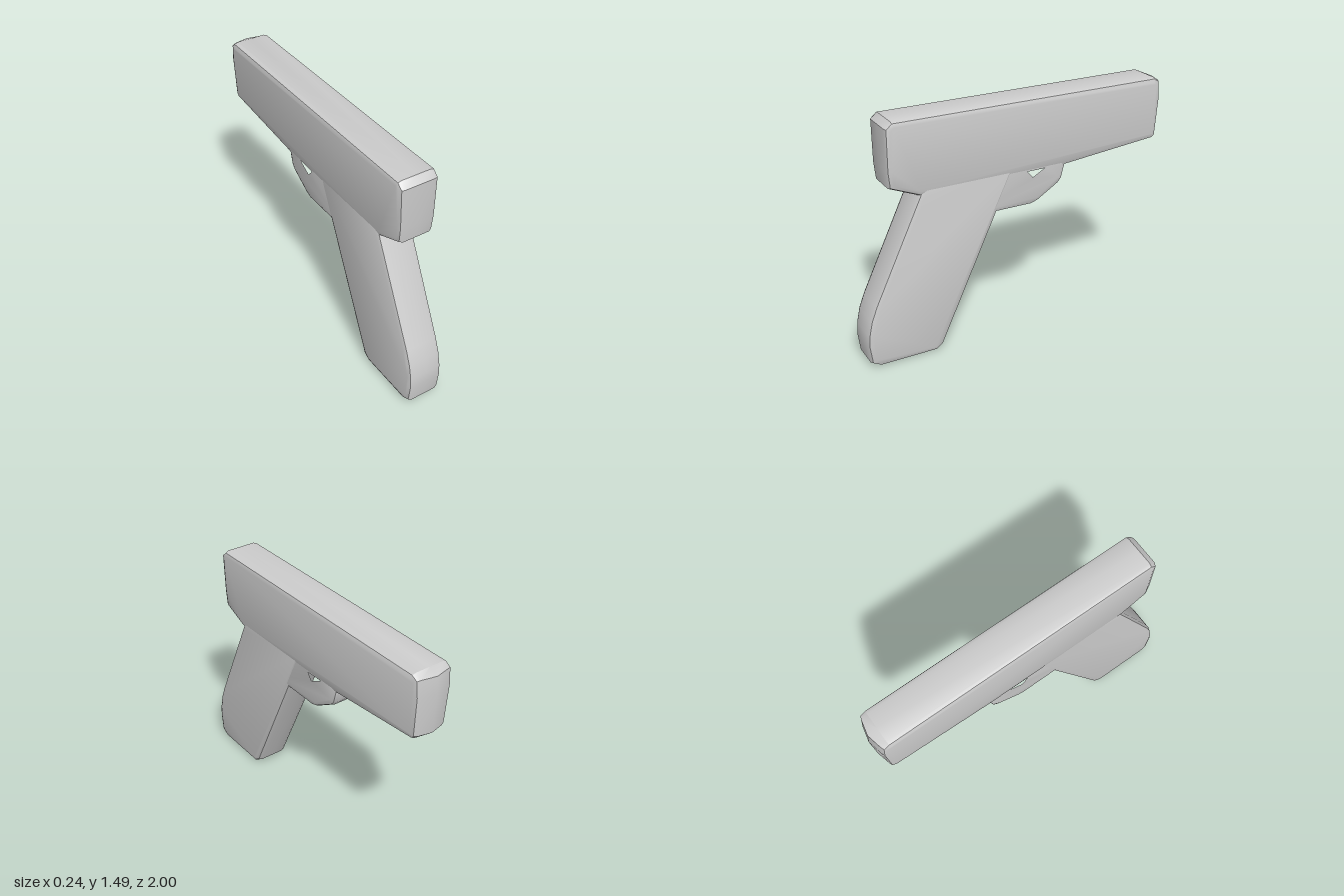
import * as THREE from 'three';
import { toCreasedNormals } from 'three/addons/utils/BufferGeometryUtils.js';

const material = new THREE.MeshStandardMaterial({ color: 0xcccccc });
const points = (list) => list.map(([z, y]) => new THREE.Vector2(z, y));

// Bevelled slab from a side outline of [z, y] points; adjust() may move its vertices.
function slab(name, outline, halfWidth, bevel, hole, adjust) {
  const shape = new THREE.Shape(points(outline));
  if (hole) shape.holes.push(new THREE.Path(points(hole)));
  const depth = 2 * (halfWidth - bevel);
  const geometry = new THREE.ExtrudeGeometry(shape, {
    depth, steps: 2, bevelEnabled: true, bevelSegments: 2,
    bevelSize: bevel, bevelThickness: bevel, bevelOffset: -bevel,
  });
  geometry.translate(0, 0, -depth / 2);
  geometry.rotateY(-Math.PI / 2);
  if (adjust) {
    const p = geometry.attributes.position;
    const v = new THREE.Vector3();
    for (let i = 0; i < p.count; i++) {
      adjust(v.fromBufferAttribute(p, i));
      p.setXYZ(i, v.x, v.y, v.z);
    }
  }
  const mesh = new THREE.Mesh(toCreasedNormals(geometry, 0.5), material);
  mesh.name = name;
  return mesh;
}

export function createModel() {
  const group = new THREE.Group();
  group.name = 'pistol';

  // Upper body: narrows slightly downwards, with a softly bulging front end
  group.add(slab('slide', [
    [0.64, 1.025], [0.82, 1.1], [0.83, 1.2], [0.83, 1.45], [0.79, 1.485],
    [-0.93, 1.485], [-0.97, 1.46], [-0.98, 1.36], [-0.965, 1.11], [-0.945, 1.09],
    [-0.3, 1.03],
  ], 0.122, 0.03, null, (v) => {
    if (v.z < -0.95 && Math.abs(v.x) < 0.01) v.z -= 0.02;
    v.x *= 1 - 0.09 * THREE.MathUtils.clamp((1.48 - v.y) / 0.45, 0, 1);
  }));

  // Slanted grip with a rounded heel
  group.add(slab('grip', [
    [0.6, 1.12], [0.645, 1.02], [0.94, 0.4], [0.975, 0.31], [0.995, 0.22], [1.0, 0.15],
    [0.985, 0.03], [0.93, 0.0], [0.57, 0.0], [0.525, 0.03], [0.155, 0.82],
    [0.02, 1.12],
  ], 0.111, 0.03));

  // Trigger guard with its opening
  group.add(slab('triggerGuard', [
    [0.3, 1.12], [0.3, 0.82], [-0.08, 0.82], [-0.125, 0.835], [-0.265, 0.92],
    [-0.29, 0.95], [-0.312, 1.03], [-0.3, 1.12],
  ], 0.108, 0.03, [[-0.01, 1.06], [-0.075, 0.955], [-0.215, 1.06]]));

  return group;
}
